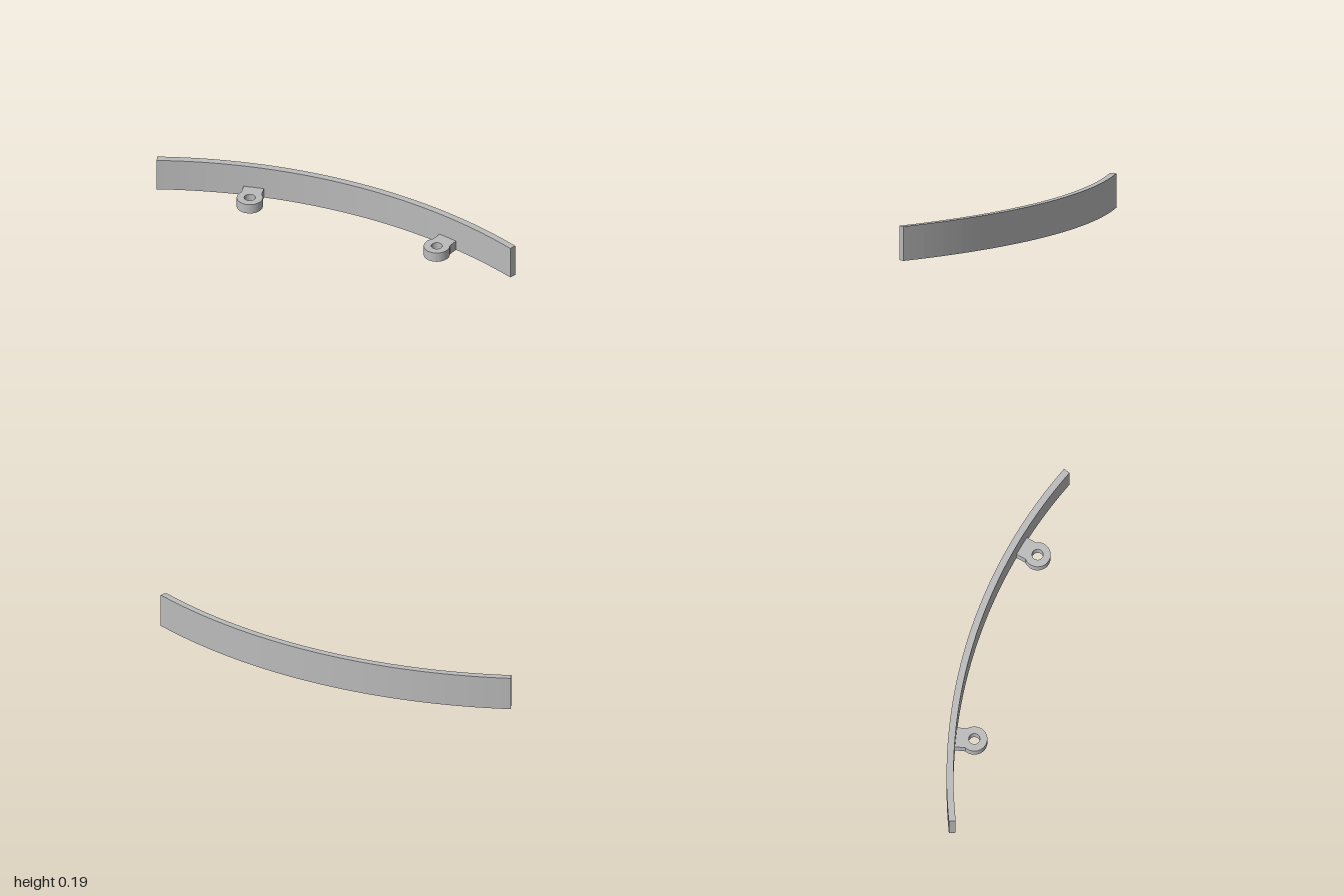
import * as THREE from 'three';

const CENTRE = [-2.401, -1]; // arc centre in plan (x, -z)
const OUTER = 2.828, INNER = 2.79, SWEEP = Math.PI / 4;
const WALL_HEIGHT = 0.192, LUG_HEIGHT = 0.058;

// Extrude a plan outline upward from y = 0
function raise(shape, depth, curveSegments) {
  return new THREE.ExtrudeGeometry(shape, { depth, curveSegments, bevelEnabled: false })
    .rotateX(-Math.PI / 2);
}

// Curved strip covering an eighth of a circle
function wallGeometry() {
  const s = new THREE.Shape();
  s.absarc(0, 0, OUTER, 0, SWEEP, false);
  s.absarc(0, 0, INNER, SWEEP, 0, true);
  s.closePath();
  return raise(s, WALL_HEIGHT, 24);
}

// Round eyelet with a straight neck that runs into the wall
function lugGeometry() {
  const r = 0.072, half = 0.057, reach = 0.115;
  const a = Math.asin(half / r);
  const s = new THREE.Shape();
  s.moveTo(reach, -half);
  s.lineTo(reach, half);
  s.absarc(0, 0, r, a, Math.PI * 2 - a, false);
  s.closePath();
  const hole = new THREE.Path();
  hole.absarc(0, 0, 0.031, 0, Math.PI * 2, true);
  s.holes.push(hole);
  return raise(s, LUG_HEIGHT, 40);
}

export function createModel() {
  const grey = new THREE.MeshStandardMaterial({ color: 0xbbbbbb });
  grey.name = 'plain grey';
  const model = new THREE.Group();
  model.name = 'curvedBracket';

  const wall = new THREE.Mesh(wallGeometry(), grey);
  wall.name = 'curvedWall';
  wall.position.set(CENTRE[0], 0, -CENTRE[1]);
  model.add(wall);

  // Two mounting lugs on the inner face, pointing along the radius
  const lug = lugGeometry();
  [['frontLug', 9.5], ['backLug', 33.9]].forEach(([name, degrees]) => {
    const angle = THREE.MathUtils.degToRad(degrees), dist = 2.688;
    const mesh = new THREE.Mesh(lug, grey);
    mesh.name = name;
    mesh.position.set(CENTRE[0] + dist * Math.cos(angle), 0, -CENTRE[1] - dist * Math.sin(angle));
    mesh.rotation.y = angle;
    model.add(mesh);
  });
  return model;
}
